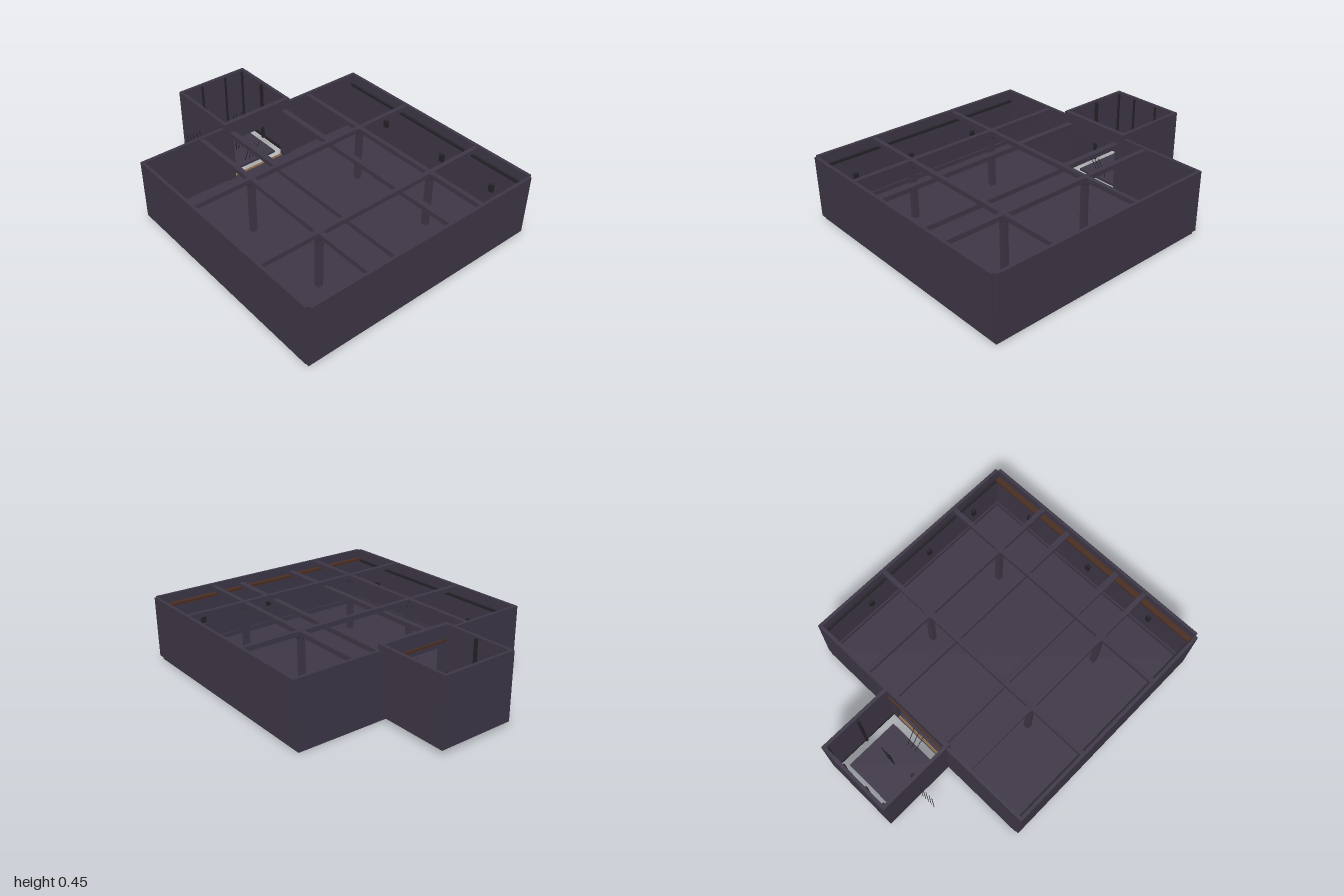
import * as THREE from 'three';

const mat = (name, color) => {
  const m = new THREE.MeshStandardMaterial({ color });
  m.name = name;
  return m;
};

export function createModel() {
  const model = new THREE.Group();
  model.name = 'roomWithLiftShaft';
  const stone = mat('slate stone', 0x3e3747);
  const dark = mat('dark iron', 0x262229);
  const wood = mat('brown wood', 0x4a2e22);
  const sill = mat('tan sill', 0x8a6a48);

  // Box given by its extents on each axis
  const box = (name, m, [x0, x1], [y0, y1], [z0, z1], parent = model) => {
    const mesh = new THREE.Mesh(new THREE.BoxGeometry(x1 - x0, y1 - y0, z1 - z0), m);
    mesh.position.set((x0 + x1) / 2, (y0 + y1) / 2, (z0 + z1) / 2);
    mesh.name = name;
    parent.add(mesh);
    return mesh;
  };
  // Extents mirrored across x = 0
  const side = (s, a, b) => (s > 0 ? [a, b] : [-b, -a]);
  // Thin round rod between two points
  const rod = (name, a, b, r = 0.002) => {
    const p = new THREE.Vector3(...a), q = new THREE.Vector3(...b);
    const mesh = new THREE.Mesh(new THREE.CylinderGeometry(r, r, p.distanceTo(q), 6), dark);
    mesh.position.copy(p).lerp(q, 0.5);
    mesh.quaternion.setFromUnitVectors(new THREE.Vector3(0, 1, 0), q.clone().sub(p).normalize());
    mesh.name = name;
    model.add(mesh);
  };

  // Main room: floor and outer walls
  const wallY = [0.03, 0.42];
  box('floor', stone, [-0.8, 0.8], [0, 0.03], [-0.52, 0.98]);
  box('frontWall', stone, [-0.8, 0.8], wallY, [0.98, 1]);
  for (const s of [1, -1]) {
    box('sideWall', stone, side(s, 0.8, 0.82), wallY, [-0.52, 0.98]);
    box('backWall', stone, side(s, 0.25, 0.8), wallY, [-0.52, -0.5]);
    box('sideWallRail', dark, side(s, 0.784, 0.8), [0.34, 0.355], [-0.5, 0.98]);
    box('sideSkirting', stone, side(s, 0.79, 0.8), [0.03, 0.06], [-0.5, 0.98]);
    for (const z of [-0.15, 0.35, 0.75])
      box('wallLamp', dark, side(s, 0.78, 0.8), [0.18, 0.23], [z - 0.015, z + 0.015]);
  }
  box('frontRail', wood, [-0.79, 0.79], [0.35, 0.365], [0.945, 0.98]);
  box('frontSkirting', stone, [-0.79, 0.79], [0.03, 0.06], [0.97, 0.98]);
  for (const x of [-0.5, 0, 0.5])
    box('frontWallLamp', dark, [x - 0.015, x + 0.015], [0.18, 0.23], [0.96, 0.98]);

  // Ceiling beams and the columns under their crossings
  const crossZ = [-0.005, 0.593];
  for (const z of crossZ)
    box('crossBeam', stone, [-0.8, 0.8], [0.385, 0.415], [z - 0.014, z + 0.014]);
  for (const s of [1, -1]) {
    box('longBeam', stone, side(s, 0.396, 0.426), [0.383, 0.413], [-0.5, 0.98]);
    box('lowBeam', stone, side(s, 0.18, 0.217), [0.355, 0.384], [-0.5, 0.98]);
    for (const z of crossZ) {
      box('column', stone, side(s, 0.394, 0.428), [0.03, 0.385], [z - 0.017, z + 0.017]);
      const capital = new THREE.Mesh(new THREE.CylinderGeometry(0.032, 0.02, 0.05, 8), stone);
      capital.rotation.y = Math.PI / 8;
      capital.position.set(s * 0.411, 0.385, z);
      capital.name = 'capital';
      model.add(capital);
    }
  }

  // Lift shaft: walls, guide rails and doorway to the room
  const shaftY = [0.03, 0.45];
  box('shaftBackWall', stone, [-0.25, 0.25], shaftY, [-1, -0.98]);
  for (const s of [1, -1]) {
    box('shaftSideWall', stone, side(s, 0.23, 0.25), shaftY, [-0.98, -0.52]);
    box('doorPier', stone, side(s, 0.19, 0.25), shaftY, [-0.52, -0.49]);
    box('shaftFooting', dark, side(s, 0.221, 0.23), [0.03, 0.05], [-0.97, -0.52]);
    box('guideRail', dark, side(s, 0.212, 0.23), [0.03, 0.44], [-0.76, -0.745]);
    box('cornerPost', dark, side(s, 0.218, 0.23), [0.03, 0.44], [-0.98, -0.968]);
  }
  for (const x of [-0.09, 0.09])
    box('backPost', dark, [x - 0.006, x + 0.006], [0.03, 0.44], [-0.98, -0.972]);
  box('doorLintel', stone, [-0.19, 0.19], [0.32, 0.45], [-0.52, -0.49]);
  box('lintelTrim', wood, [-0.22, 0.22], [0.35, 0.365], [-0.53, -0.52]);
  box('doorSill', sill, [-0.19, 0.19], [0.03, 0.034], [-0.52, -0.505]);

  // Lift platform with its hanging cables
  box('liftPlatform', stone, [-0.18, 0.18], [0.02, 0.035], [-0.93, -0.57]);
  for (const x of [-0.01, 0.01, 0.04])
    rod('liftCable', [x, 0.035, -0.74], [x * 1.3, 0.3, -0.75], 0.003);
  for (const x of [-0.04, -0.01, 0.02])
    rod('slackCable', [x, 0.04, -0.6], [x * 1.3, 0.2, -0.525]);

  // Row of thin chains beside the shaft
  for (let i = 0; i < 5; i++)
    rod('sideChain', [-0.27 - i * 0.023, 0.04, -0.755], [-0.27 - i * 0.023, 0.29, -0.755]);

  return model;
}
